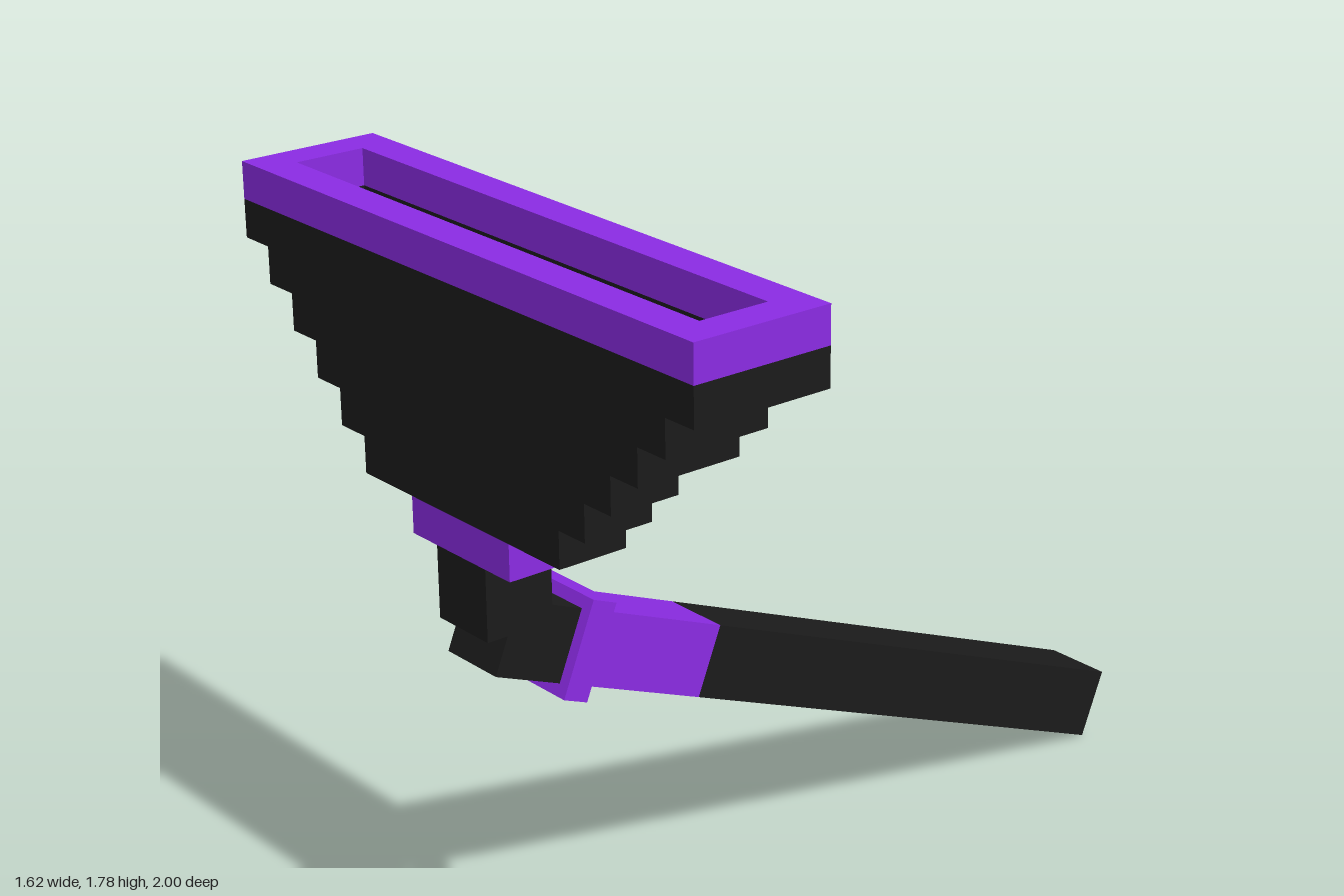
import * as THREE from 'three';

const T = 0.18; // thickness of the square tube
const material = (color) => new THREE.MeshStandardMaterial({ color, flatShading: true });

export function createModel() {
  const black = material(0x1b1b1b);
  const purple = material(0x8a2be2);
  const model = new THREE.Group();

  const add = (parent, name, geometry, mat) => {
    const mesh = new THREE.Mesh(geometry, mat);
    mesh.name = name;
    parent.add(mesh);
  };

  // Head: stacked tiers, front faces flush, leaning back very slightly
  const head = new THREE.Group();
  head.name = 'head';
  head.position.set(0, 0.885, 1);
  head.rotation.x = -0.008;
  model.add(head);

  const tier = (name, y0, y1, halfWidth, depth, mat) => add(head, name,
    new THREE.BoxGeometry(2 * halfWidth, y1 - y0, depth)
      .translate(0, (y0 + y1) / 2 - 0.885, -depth / 2), mat);

  // Rectangular ring with an open middle
  const ring = (name, y0, y1, halfWidth, depth, mat) => {
    const rect = (path, w, a, b) =>
      path.moveTo(-w, a).lineTo(w, a).lineTo(w, b).lineTo(-w, b).closePath();
    const shape = new THREE.Shape();
    const hole = new THREE.Path();
    rect(shape, halfWidth, 0, depth);
    rect(hole, halfWidth - 0.09, 0.09, depth - 0.09);
    shape.holes.push(hole);
    add(head, name, new THREE.ExtrudeGeometry(shape, { depth: y1 - y0, bevelEnabled: false })
      .rotateX(-Math.PI / 2).translate(0, y0 - 0.885, 0), mat);
  };

  tier('neck', 0.885, 1.062, 0.09, T, black);
  tier('neckBlock', 1.062, 1.152, 0.18, T, purple);
  for (let i = 0; i < 5; i++) {
    const y = 1.152 + i * 0.09;
    tier('tier' + (i + 1), y, y + 0.09, 0.36 + i * 0.09, i < 3 ? T : 0.27, black);
  }
  ring('upperTier', 1.602, 1.695, 0.81, 0.36, black);
  ring('rim', 1.695, 1.785, 0.81, 0.36, purple);

  // Handle: built along +z from its far end, then tilted up toward the head
  const handle = new THREE.Group();
  handle.name = 'handle';
  handle.position.set(0, 0.087, -0.965);
  handle.rotation.x = -Math.PI / 8;
  model.add(handle);

  const section = (name, s0, s1, size, mat) => add(handle, name,
    new THREE.BoxGeometry(size, size, s1 - s0).translate(0, 0, (s0 + s1) / 2), mat);

  section('grip', 0, 1.44, T, black);
  section('gripBand', 1.44, 1.81, T, purple);
  section('collar', 1.81, 1.88, 0.24, purple);
  section('elbow', 1.88, 2.07, T, black);

  return model;
}
